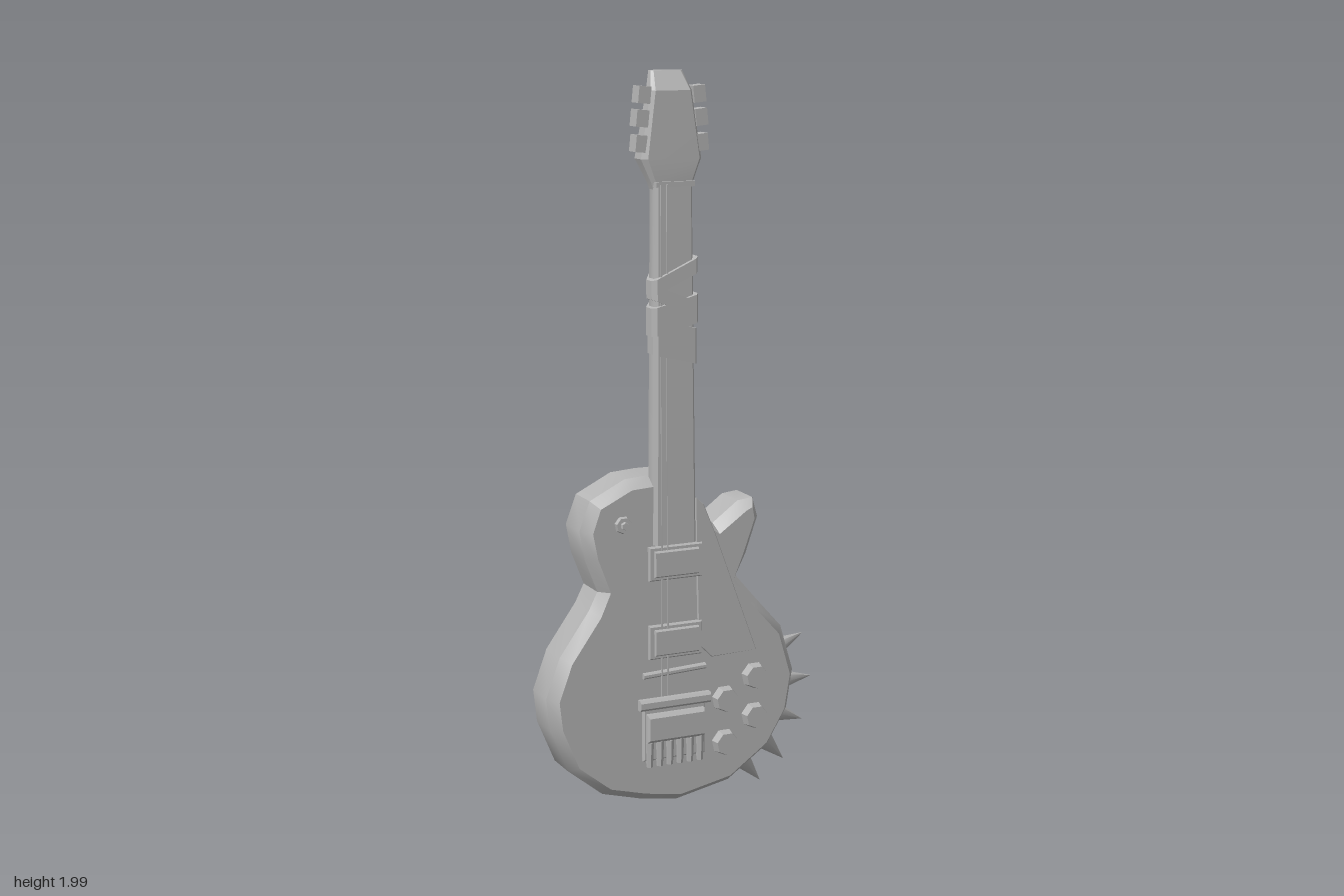
import * as THREE from 'three';
import { toCreasedNormals } from 'three/addons/utils/BufferGeometryUtils.js';

const grey = new THREE.MeshStandardMaterial({ color: 0xb4b4b4 });
grey.name = 'plain grey';
const CX = -0.05; // centre line of neck and hardware
const FACE = 0.055; // front face of the body

// Skin a stack of closed rings ([x, y, z] points, anticlockwise seen from the last ring) and cap both ends
function loft(rings, flatten, crease = 0.5) {
  const n = rings[0].length, index = [];
  for (let r = 0; r < rings.length - 1; r++) {
    for (let i = 0; i < n; i++) {
      const a = r * n + i, b = r * n + (i + 1) % n;
      index.push(a, b, b + n, a, b + n, a + n);
    }
  }
  const last = (rings.length - 1) * n;
  const cap = ring => THREE.ShapeUtils.triangulateShape(ring.map(flatten), []);
  for (const [a, b, c] of cap(rings[0])) index.push(a, c, b);
  for (const [a, b, c] of cap(rings[rings.length - 1])) index.push(last + a, last + b, last + c);
  const g = new THREE.BufferGeometry();
  g.setAttribute('position', new THREE.Float32BufferAttribute(rings.flat(2), 3));
  g.setIndex(index);
  return toCreasedNormals(g, crease);
}
const alongZ = p => new THREE.Vector2(p[0], p[1]);
const alongY = p => new THREE.Vector2(p[0], -p[2]);

// Move an anticlockwise outline inwards by d
function inset(pts, d) {
  return pts.map((p, i) => {
    const a = pts[(i + pts.length - 1) % pts.length], b = pts[(i + 1) % pts.length];
    const t = new THREE.Vector2(b[0] - a[0], b[1] - a[1]).normalize();
    return [p[0] - t.y * d, p[1] + t.x * d];
  });
}

// Raised plate with a bevelled front edge, from an anticlockwise outline
function plate(pts, z0, z1, bevel) {
  const at = (o, z) => o.map(p => [p[0], p[1], z]);
  return loft([at(pts, z0), at(pts, z1 - bevel), at(inset(pts, bevel), z1)], alongZ, 0.2);
}
const rect = (x0, x1, y0, y1, tilt = 0) => [[x0, y0], [x1, y0 + tilt], [x1, y1 + tilt], [x0, y1]];

// Eight-sided neck section: flat front, tapered back; slope tilts it across x
function section(y, hw, zf, zb, slope = 0) {
  const z = f => zb + (zf - zb) * f;
  return [[0.85, 1], [1, 0.85], [1, 0.5], [0.5, 0], [-0.5, 0], [-1, 0.5], [-1, 0.85], [-0.85, 1]]
    .map(([x, f]) => [CX + x * hw, y + slope * x * hw, z(f)]);
}

export function createModel() {
  const guitar = new THREE.Group();
  guitar.name = 'guitar';
  const add = (name, geometry, x = 0, y = 0, z = 0) => {
    const m = new THREE.Mesh(geometry, grey);
    m.name = name;
    m.position.set(x, y, z);
    guitar.add(m);
    return m;
  };

  // Body with one cutaway and a bevelled front rim
  const outline = [
    [-0.11, 0.935], [-0.18, 0.93], [-0.28, 0.88], [-0.31, 0.8], [-0.295, 0.72], [-0.26, 0.63],
    [-0.285, 0.58], [-0.37, 0.46], [-0.41, 0.35], [-0.4, 0.26], [-0.35, 0.14], [-0.25, 0.06],
    [-0.14, 0.03], [-0.03, 0.012], [0.13, 0.045], [0.25, 0.13], [0.31, 0.23], [0.328, 0.34],
    [0.29, 0.47], [0.21, 0.56], [0.15, 0.63], [0.18, 0.69], [0.215, 0.79], [0.2, 0.845],
    [0.155, 0.84], [0.08, 0.785], [0.045, 0.815], [0.015, 0.9], [0, 0.935],
  ];
  const bodyRings = [[0.008, -0.087], [0, -0.076], [0, 0.02], [0.025, FACE]]
    .map(([d, z]) => inset(outline, d).map(p => [p[0], p[1], z]));
  add('body', loft(bodyRings, alongZ, 0.55));

  // Neck and headstock
  add('neck', loft([section(0.75, 0.063, 0.068, -0.02), section(1.71, 0.054, 0.06, -0.02)], alongY, 0.9));
  add('headstock', loft([
    section(1.69, 0.052, 0.052, -0.018), section(1.715, 0.06, 0.055, -0.025),
    section(1.775, 0.086, 0.055, -0.063), section(1.95, 0.058, 0.05, -0.035),
    section(2, 0.045, 0.012, -0.026),
  ], alongY, 0.4));
  add('nut', new THREE.BoxGeometry(0.11, 0.014, 0.02), CX, 1.71, 0.055);

  // Three tuning pegs on each side
  [[1.94, 0.078], [1.88, 0.084], [1.815, 0.086]].forEach(([y, x]) => {
    for (const side of [-1, 1]) {
      add('tuningPeg', new THREE.BoxGeometry(0.034, 0.044, 0.042), CX + side * x, y, 0.025).rotation.z = side * 0.1;
      add('pegShaft', new THREE.BoxGeometry(0.05, 0.02, 0.02), CX + side * (x - 0.022), y, 0.025);
    }
  });

  // Cloth wrapped round the neck in slanted bands
  [[1.45, 1.49, 0.066, 0.45], [1.385, 1.425, 0.065, -0.4], [1.33, 1.405, 0.067, 0.25], [1.25, 1.345, 0.063, -0.25]]
    .forEach(([y0, y1, hw, slope]) => add('neckWrap', loft(
      [section(y0, hw, 0.074, -0.027, slope), section(y1, hw, 0.074, -0.027, slope)], alongY, 0.4)));

  // Strings
  for (const x of [-0.092, -0.075]) {
    add('string', new THREE.BoxGeometry(0.004, 1.38, 0.004), x, 1.02, 0.067);
  }

  // Pickguard
  add('pickguard', plate([[0.01, 0.87], [0.02, 0.46], [0.06, 0.42], [0.195, 0.425], [0.07, 0.765], [0.035, 0.85]],
    0.05, 0.061, 0.002));

  // Pickups: surround and raised cover
  for (const y of [0.7, 0.482]) {
    add('pickupSurround', plate(rect(-0.128, 0.028, y - 0.047, y + 0.047), 0.05, 0.067, 0.004));
    add('pickupCover', plate(rect(-0.115, 0.015, y - 0.036, y + 0.036), 0.06, 0.077, 0.004));
  }

  // Bridge, tailpiece and its six fingers
  add('bridgeBar', plate(rect(-0.145, 0.04, 0.383, 0.398, 0.008), 0.05, 0.068, 0.004));
  add('tailpieceBar', plate(rect(-0.158, 0.052, 0.295, 0.325), 0.05, 0.076, 0.007));
  add('tailpieceBase', plate(rect(-0.147, 0.038, 0.15, 0.3), 0.05, 0.066, 0.006));
  add('tailpieceBlock', plate(rect(-0.14, 0.03, 0.205, 0.285), 0.06, 0.086, 0.01));
  for (let i = 0; i < 6; i++) {
    const finger = new THREE.CylinderGeometry(0.012, 0.009, 0.07, 6);
    add('tailpieceFinger', toCreasedNormals(finger, 0.5), -0.13 + i * 0.03, 0.17, 0.068);
  }

  // Control knobs and selector switch
  const knob = (name, x, y, r, z, sides) => {
    const g = new THREE.CylinderGeometry(r * 0.8, r, z - 0.045, sides);
    add(name, toCreasedNormals(g, 0.5), x, y, (z + 0.045) / 2).rotation.x = Math.PI / 2;
  };
  [[0.19, 0.35], [0.1, 0.295], [0.19, 0.235], [0.1, 0.17]].forEach(([x, y]) => knob('controlKnob', x, y, 0.04, 0.08, 7));
  knob('switchPlate', -0.2, 0.815, 0.027, 0.066, 7);
  knob('switchTip', -0.2, 0.815, 0.013, 0.077, 6);

  // Spikes round the lower edge: base x, y then tip x, y
  [[0.285, 0.395, 0.38, 0.43], [0.305, 0.3, 0.408, 0.3], [0.29, 0.21, 0.38, 0.175],
    [0.255, 0.135, 0.322, 0.065], [0.185, 0.09, 0.248, 0.012]].forEach(([x0, y0, x1, y1]) => {
    const length = Math.hypot(x1 - x0, y1 - y0);
    const spike = add('spike', new THREE.ConeGeometry(0.03, length, 8), (x0 + x1) / 2, (y0 + y1) / 2, -0.017);
    spike.rotation.z = Math.atan2(y1 - y0, x1 - x0) - Math.PI / 2;
  });

  return guitar;
}
